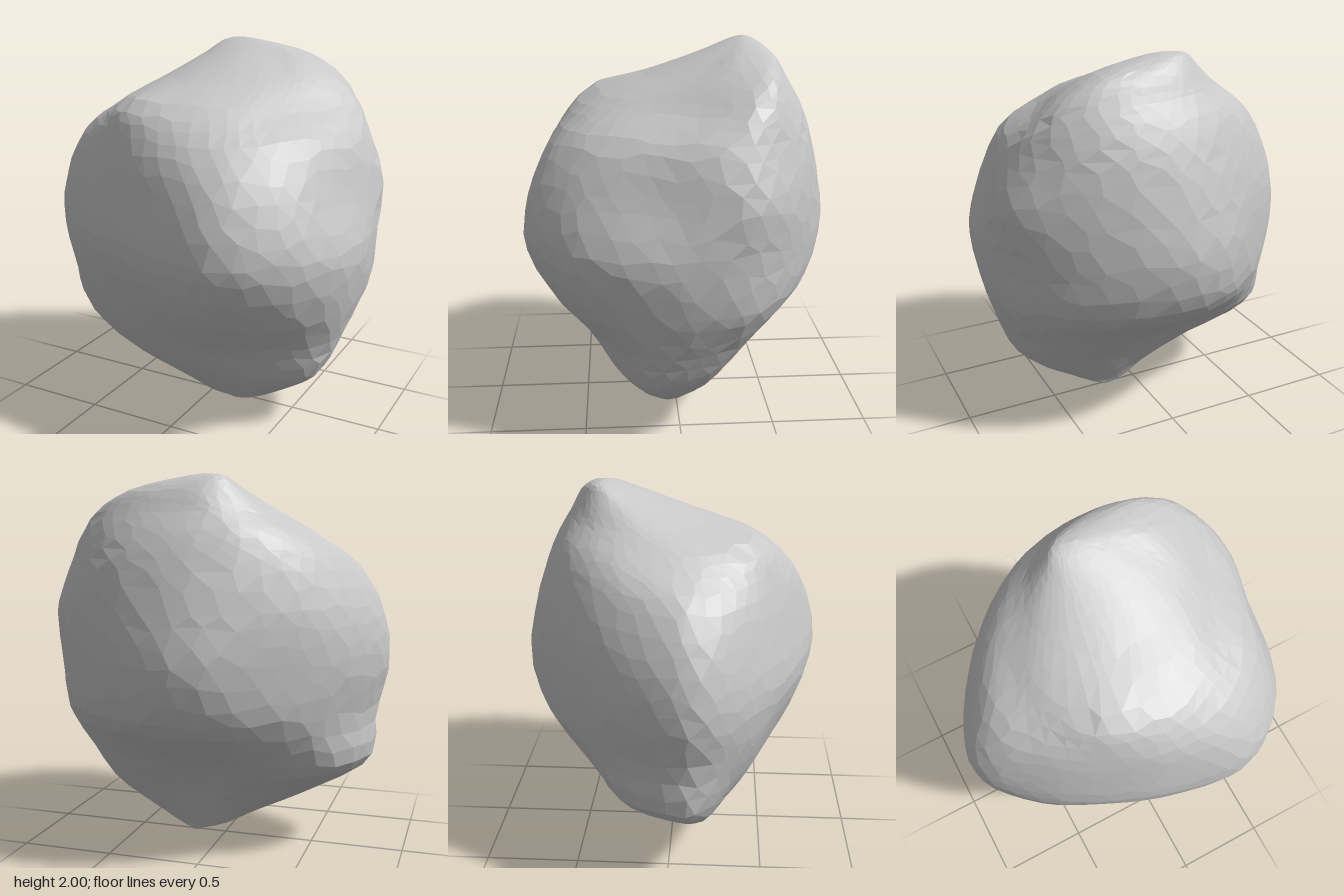
import * as THREE from 'three';

// Horizontal slices, bottom to top: height, centre (x, z)
const slices = [
  [0.04, 0.15, 0.02], [0.12, 0.14, 0.04], [0.3, 0.1, 0.05], [0.5, 0, 0], [0.75, 0, 0], [1.03, 0, 0],
  [1.3, 0, 0], [1.55, 0, 0], [1.7, 0.05, -0.12], [1.82, 0.1, -0.24], [1.92, 0.08, -0.33],
];

// Directions of the ribs in degrees, turning from +x towards +z:
// right ridge, right side, front corner, front (3), left front, left tip, back (4)
const angles = [-22, 8, 36, 62, 90, 120, 148, 171, 198, 230, 270, 308];

// Radius of every slice along each direction
const radii = [
  [0.12, 0.14, 0.12, 0.10, 0.08, 0.09, 0.12, 0.15, 0.11, 0.08, 0.06, 0.07],
  [0.25, 0.29, 0.24, 0.19, 0.15, 0.17, 0.22, 0.31, 0.22, 0.15, 0.13, 0.16],
  [0.52, 0.58, 0.44, 0.35, 0.31, 0.34, 0.45, 0.65, 0.50, 0.32, 0.25, 0.33],
  [0.71, 0.775, 0.65, 0.55, 0.49, 0.51, 0.62, 0.815, 0.71, 0.49, 0.38, 0.50],
  [0.86, 0.85, 0.83, 0.76, 0.65, 0.62, 0.735, 0.84, 0.74, 0.68, 0.70, 0.76],
  [0.89, 0.885, 0.91, 0.88, 0.735, 0.70, 0.785, 0.90, 0.79, 0.71, 0.795, 0.82],
  [0.91, 0.80, 0.84, 0.83, 0.69, 0.66, 0.74, 0.86, 0.76, 0.70, 0.755, 0.82],
  [0.825, 0.71, 0.70, 0.67, 0.61, 0.59, 0.64, 0.71, 0.66, 0.64, 0.68, 0.78],
  [0.67, 0.51, 0.49, 0.55, 0.60, 0.64, 0.59, 0.55, 0.54, 0.51, 0.50, 0.59],
  [0.49, 0.38, 0.33, 0.34, 0.38, 0.42, 0.44, 0.43, 0.39, 0.34, 0.31, 0.38],
  [0.31, 0.27, 0.20, 0.19, 0.20, 0.22, 0.26, 0.275, 0.24, 0.185, 0.165, 0.21],
];

const bottom = new THREE.Vector3(0.18, 0, -0.02);
const top = new THREE.Vector3(0, 2, -0.36);

// Small seeded generator giving -0.5 to 0.5
function makeNoise(seed) {
  return () => {
    seed = (seed * 16807) % 2147483647;
    return seed / 2147483647 - 0.5;
  };
}

// One rib per direction, running from the bottom tip to the crest
function makeRibs() {
  return angles.map((deg, k) => {
    const a = THREE.MathUtils.degToRad(deg);
    const pts = slices.map(([y, cx, cz], i) => new THREE.Vector3(
      cx + radii[i][k] * Math.cos(a), y, cz + radii[i][k] * Math.sin(a)));
    // Nearly flat crest
    const rim = new THREE.Vector3(0.11 * Math.cos(a), 1.985, -0.36 + 0.06 * Math.sin(a));
    return new THREE.CatmullRomCurve3([bottom, ...pts, rim, top]);
  });
}

function stoneGeometry(rows, cols) {
  const noise = makeNoise(77);
  const ribs = makeRibs();
  const pos = [];
  const index = [];
  const nub = new THREE.Vector3(-0.2, 1.74, 0.36);

  for (let i = 0; i <= rows; i++) {
    for (let j = 0; j < cols; j++) {
      const inner = i > 0 && i < rows;
      // Uneven spacing gives irregular facets
      const t = inner ? (i + noise() * 0.5) / rows : i / rows;
      const u = (j + (i % 2) * 0.5 + noise() * 0.5 + cols) / cols % 1;
      const ring = new THREE.CatmullRomCurve3(ribs.map((r) => r.getPoint(t)), true);
      const p = ring.getPoint(u);
      // Small raised chip on the front shelf
      p.y += 0.045 * Math.exp(-p.distanceToSquared(nub) / 0.002);
      p.y = THREE.MathUtils.clamp(p.y, 0, 2);
      pos.push(p.x, p.y, p.z);
    }
  }
  for (let i = 0; i < rows; i++) {
    for (let j = 0; j < cols; j++) {
      const n = (j + 1) % cols;
      const a = i * cols + j, b = i * cols + n;
      const c = a + cols, d = b + cols;
      // Diagonals follow the half-step stagger of the rows
      if (i % 2) index.push(a, d, b, a, c, d);
      else index.push(a, c, b, b, c, d);
    }
  }
  const geo = new THREE.BufferGeometry();
  geo.setAttribute('position', new THREE.Float32BufferAttribute(pos, 3));
  geo.setIndex(index);
  geo.computeVertexNormals();
  return geo;
}

export function createModel() {
  const stoneGrey = new THREE.MeshStandardMaterial({ color: 0xc8c8c8, flatShading: true });
  stoneGrey.name = 'stoneGrey';

  const boulder = new THREE.Mesh(stoneGeometry(38, 42), stoneGrey);
  boulder.name = 'boulder';

  const group = new THREE.Group();
  group.name = 'rock';
  group.add(boulder);
  return group;
}
